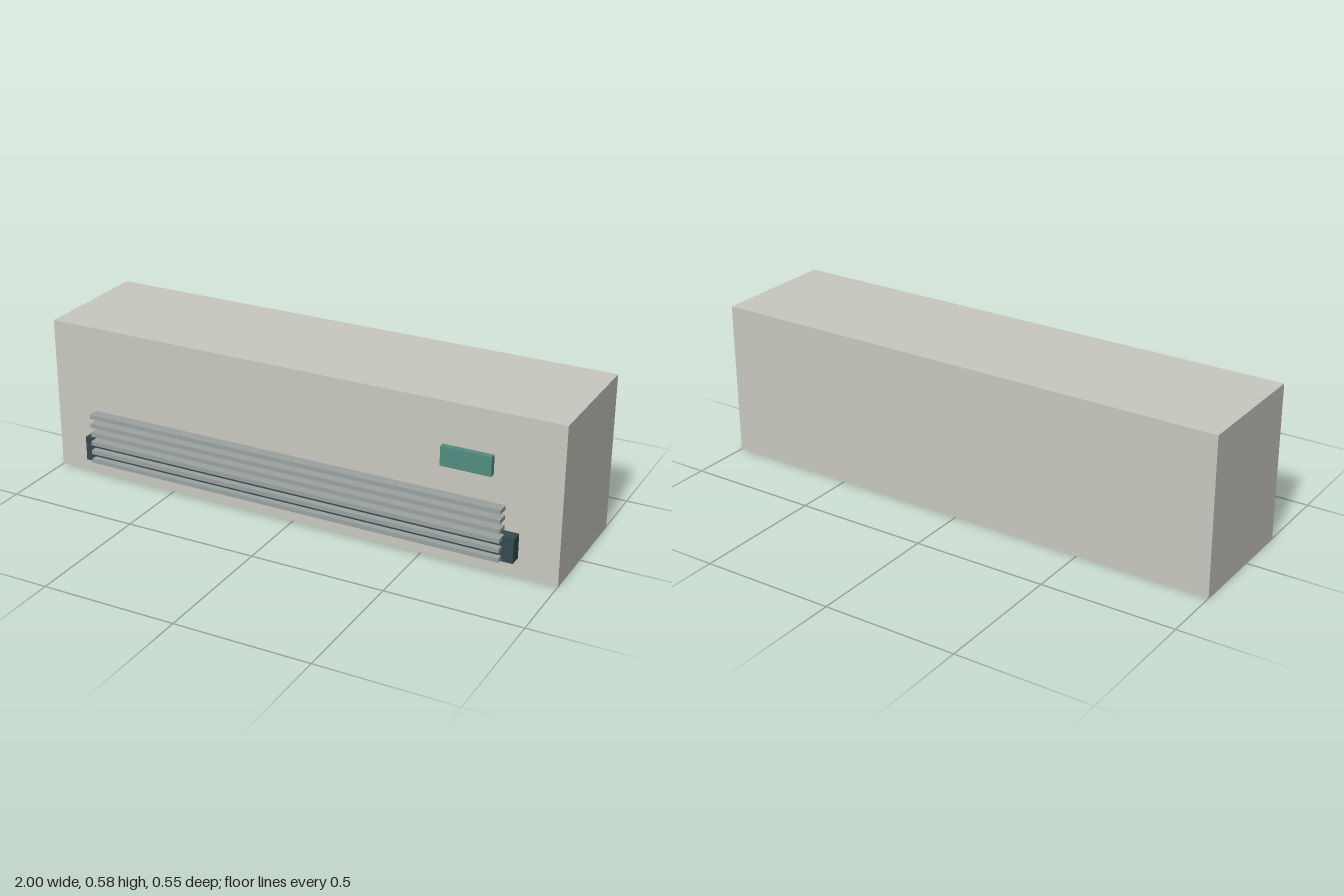
import * as THREE from 'three';

export function createModel() {
  const group = new THREE.Group();
  const paint = (color) => new THREE.MeshStandardMaterial({ color });
  const casingPaint = paint(0xcac9c0);
  const outletPaint = paint(0x364b4f);
  const slatPaint = paint(0x9ba3a0);
  const displayPaint = paint(0x538d82);

  // Box given by its extents along each axis
  function addBox(name, [x0, x1], [y0, y1], [z0, z1], material) {
    const mesh = new THREE.Mesh(new THREE.BoxGeometry(x1 - x0, y1 - y0, z1 - z0), material);
    mesh.position.set((x0 + x1) / 2, (y0 + y1) / 2, (z0 + z1) / 2);
    mesh.name = name;
    group.add(mesh);
  }

  // Main casing
  addBox('casing', [-1, 1], [0, 0.585], [-0.274, 0.205], casingPaint);

  // Dark air outlet along the lower front
  addBox('airOutlet', [-0.854, 0.854], [0.07, 0.1625], [0.205, 0.251], outletPaint);

  // Six horizontal louvre slats
  for (let i = 0; i < 6; i++) {
    const y = 0.0835 + i * 0.0358;
    addBox(`louvreSlat${i + 1}`, [-0.812, 0.812], [y - 0.008, y + 0.008], [0.233, 0.275], slatPaint);
  }

  // Small display panel on the upper left of the front
  addBox('displayPanel', [0.572, 0.757], [0.361, 0.433], [0.2125, 0.234], displayPaint);

  return group;
}
